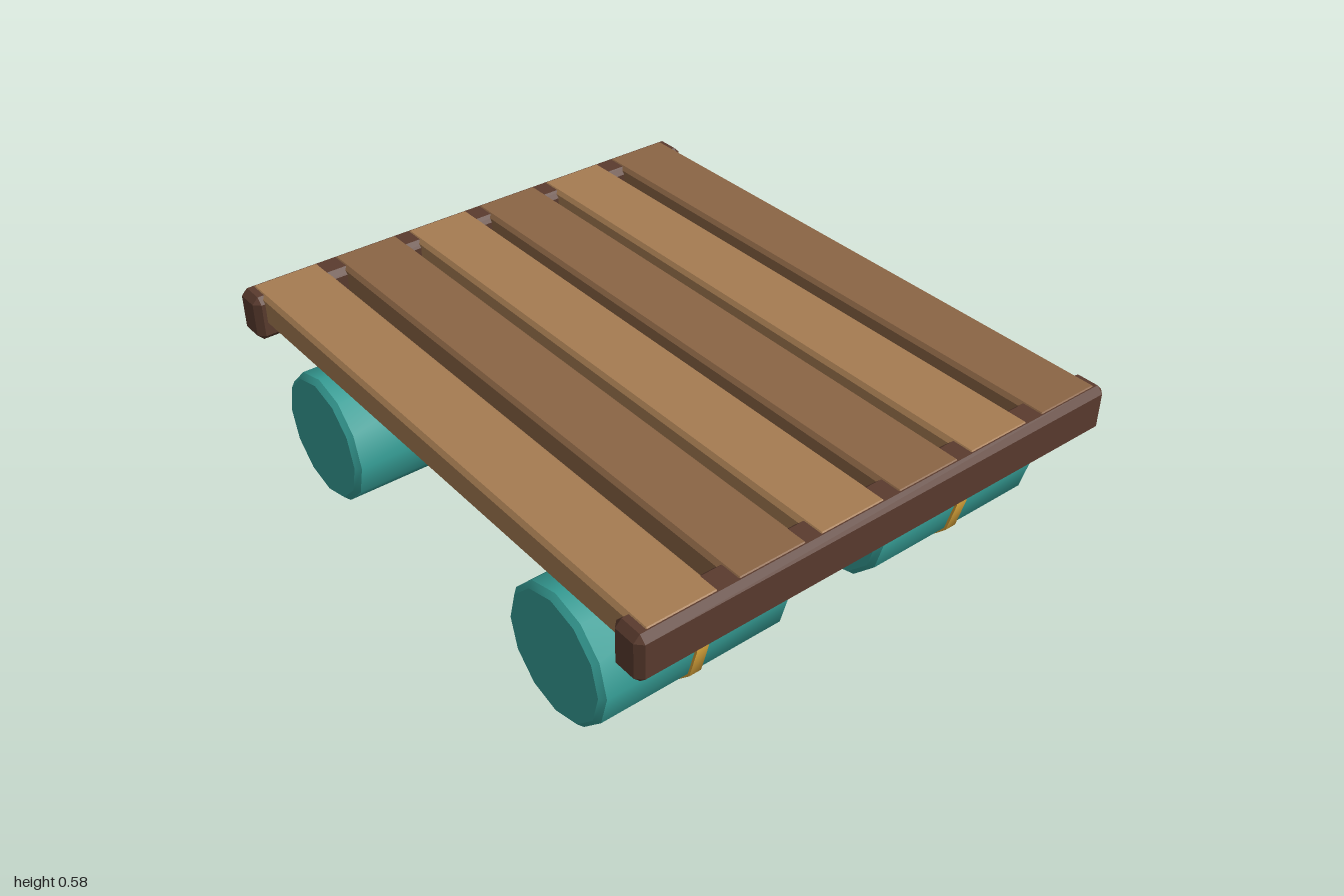
import * as THREE from 'three';
import { toCreasedNormals } from 'three/addons/utils/BufferGeometryUtils.js';
import { ConvexGeometry } from 'three/addons/geometries/ConvexGeometry.js';

const material = (color) => new THREE.MeshStandardMaterial({ color });

// Box with every edge cut at 45 degrees: each corner becomes three points.
function chamferBox(w, h, d, c) {
  const points = [];
  for (const x of [-1, 1]) for (const y of [-1, 1]) for (const z of [-1, 1]) {
    for (let axis = 0; axis < 3; axis++) {
      const half = [w / 2, h / 2, d / 2].map((s, i) => (i === axis ? s : s - c));
      points.push(new THREE.Vector3(x * half[0], y * half[1], z * half[2]));
    }
  }
  return new ConvexGeometry(points);
}

// Twelve-sided turned shape lying along z.
function turned(profile) {
  const geometry = new THREE.LatheGeometry(profile.map(([r, y]) => new THREE.Vector2(r, y)), 12);
  return toCreasedNormals(geometry.rotateX(Math.PI / 2), 0.6);
}

export function createModel() {
  const raft = new THREE.Group();
  raft.name = 'raft';
  const darkWood = material(0x5a3b2e);
  const midWood = material(0x8b6545);
  const lightWood = material(0xa67c52);
  const teal = material(0x369e96);
  const gold = material(0xd6a23a);

  const add = (name, geometry, mat, x, y, z, parent = raft) => {
    const mesh = new THREE.Mesh(geometry, mat);
    mesh.name = name;
    mesh.position.set(x, y, z);
    parent.add(mesh);
    return mesh;
  };

  // Deck planks, from back to front, in alternating tones
  const plank = chamferBox(1.97, 0.1, 0.235, 0.012);
  [-0.693, -0.413, -0.143, 0.13, 0.4, 0.685].forEach((z, i) =>
    add('deckPlank', plank, i % 2 ? lightWood : midWood, 0, 0.53, z));

  // Side rails
  const rail = chamferBox(0.11, 0.15, 1.67, 0.02);
  for (const side of [-1, 1]) {
    add(side > 0 ? 'leftRail' : 'rightRail', rail, darkWood, side * 0.945, 0.502, 0);
  }

  // Cross beams under the deck
  const beam = chamferBox(1.86, 0.07, 0.105, 0.01);
  for (const end of [-1, 1]) {
    add(end > 0 ? 'frontCrossBeam' : 'backCrossBeam', beam, darkWood, 0, 0.45, end * 0.57);
  }

  // Four floating barrels, each with a strap
  const r = 0.21, h = 0.322, c = 0.016;
  const barrelBody = turned([[0, -h], [r - c, -h], [r, -h + c], [r, h - c], [r - c, h], [0, h]]);
  const strap = turned([[0.2, -0.02], [0.218, -0.02], [0.218, 0.02], [0.2, 0.02]]);
  for (const x of [-0.605, 0.605]) for (const z of [-0.487, 0.487]) {
    const barrel = new THREE.Group();
    barrel.name = 'barrel';
    barrel.position.set(x, 0.218, z);
    add('barrelBody', barrelBody, teal, 0, 0, 0, barrel);
    add('barrelStrap', strap, gold, 0, 0, 0, barrel);
    raft.add(barrel);
  }
  return raft;
}
